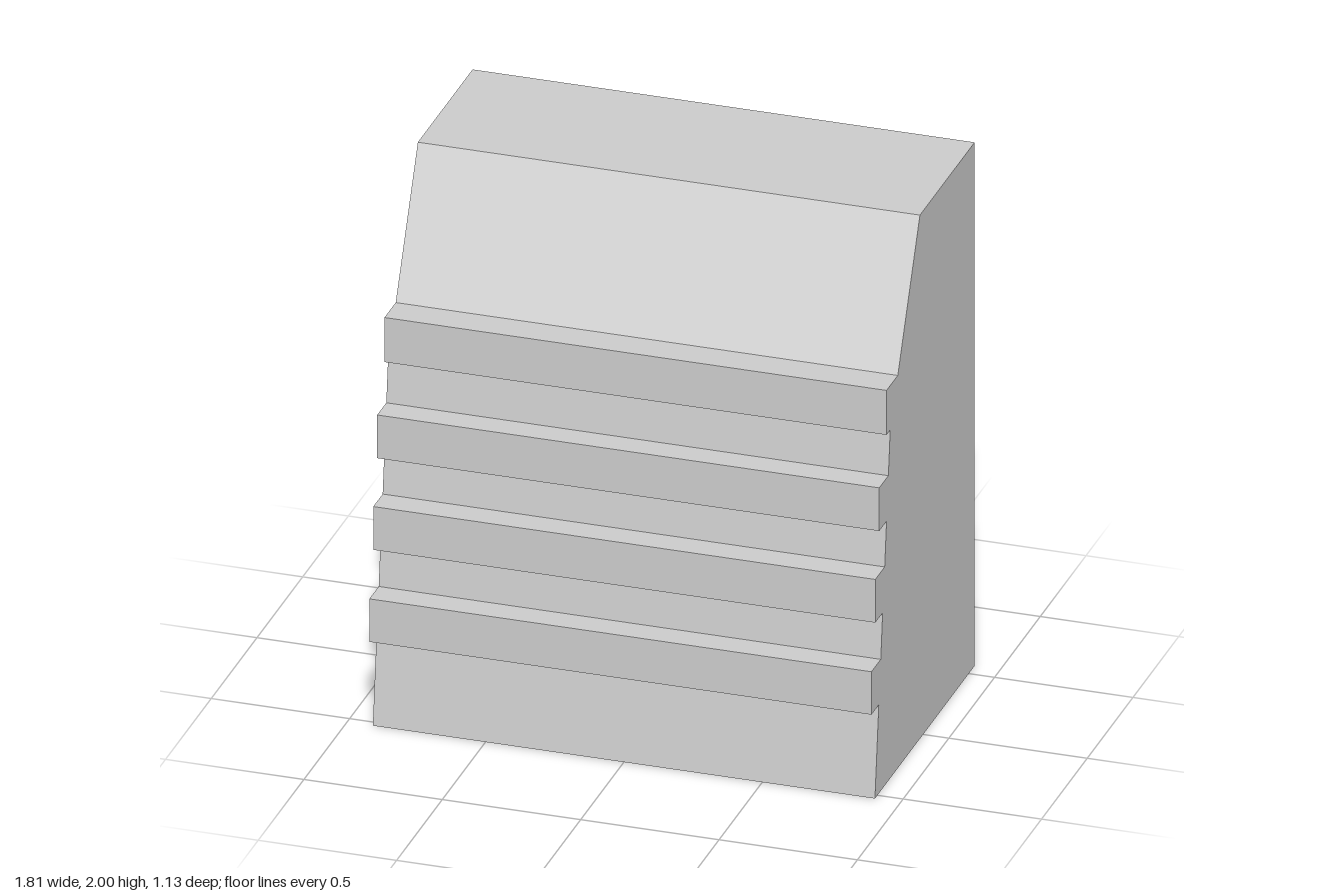
import * as THREE from 'three';

const HALF_WIDTH = 0.907;

// Side profile as [z, y], from the bottom of the back over the top to the bottom of the front
function sideProfile() {
  const points = [[-0.563, 0], [-0.563, 2], [0.035, 2], [0.277, 1.5]];
  // Ribs: front z, top y, bottom y, wall z above the rib, wall z below the rib
  const ribs = [
    [0.4, 1.5, 1.33, 0.277, 0.36],
    [0.48, 1.165, 1.0, 0.38, 0.4],
    [0.523, 0.835, 0.67, 0.42, 0.443],
    [0.565, 0.502, 0.338, 0.463, 0.485],
  ];
  ribs.forEach(([front, top, bottom, above, below], i) => {
    if (i > 0) points.push([above, top]);
    points.push([front, top], [front, bottom], [below, bottom]);
  });
  points.push([0.527, 0]);
  return points;
}

// Sheet that carries a run of profile points across the full width
function sheet(points) {
  const pos = [];
  for (let i = 0; i < points.length - 1; i++) {
    const [az, ay] = points[i], [bz, by] = points[i + 1], w = HALF_WIDTH;
    pos.push(-w, ay, az, -w, by, bz, w, by, bz);
    pos.push(-w, ay, az, w, by, bz, w, ay, az);
  }
  const geometry = new THREE.BufferGeometry();
  geometry.setAttribute('position', new THREE.Float32BufferAttribute(pos, 3));
  geometry.computeVertexNormals();
  return geometry;
}

export function createModel() {
  const group = new THREE.Group();
  group.name = 'ribbedShell';
  const material = new THREE.MeshStandardMaterial({
    color: 0xcccccc, flatShading: true, side: THREE.DoubleSide,
  });
  const add = (name, geometry) => {
    const mesh = new THREE.Mesh(geometry, material);
    mesh.name = name;
    group.add(mesh);
    return mesh;
  };

  const profile = sideProfile();

  // Back, top, slope and stepped front; the underside stays open
  add('backPanel', sheet(profile.slice(0, 2)));
  add('topPanel', sheet(profile.slice(1, 3)));
  add('slopedPanel', sheet(profile.slice(2, 4)));
  add('ribbedFront', sheet(profile.slice(3)));

  // Flat side walls
  for (const side of [1, -1]) {
    const shape = new THREE.Shape(profile.map(([z, y]) => new THREE.Vector2(-side * z, y)));
    const wall = add(side > 0 ? 'leftWall' : 'rightWall', new THREE.ShapeGeometry(shape));
    wall.rotation.y = side * Math.PI / 2;
    wall.position.x = side * HALF_WIDTH;
  }
  return group;
}
